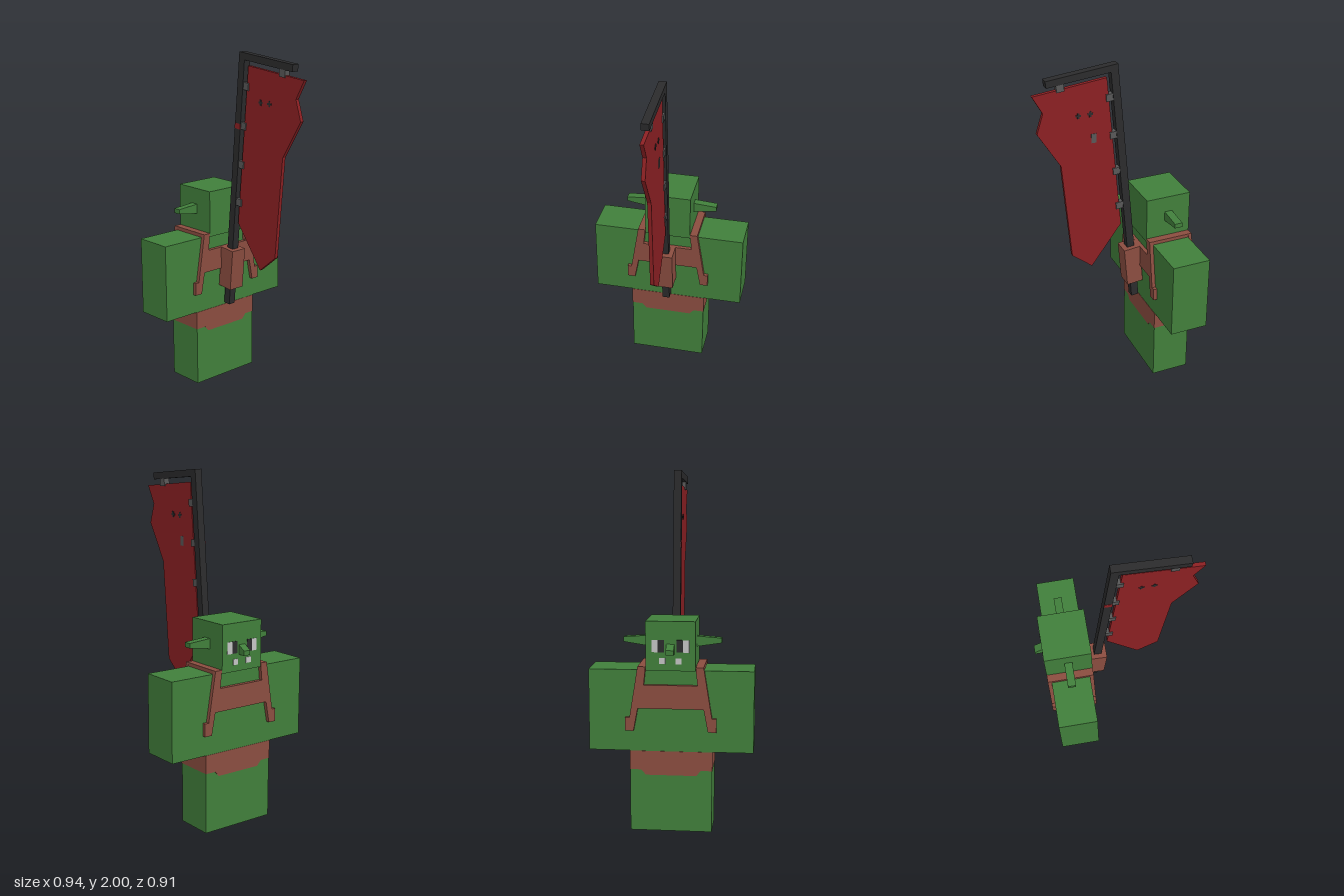
import * as THREE from 'three';

const mat = (name, color) => new THREE.MeshStandardMaterial({ name, color });

export function createModel() {
  const green = mat('green skin', 0x417f3b);
  const brown = mat('brown leather', 0x8b4d40);
  const red = mat('red blade', 0x8c2023);
  const black = mat('charcoal metal', 0x2b2b2c);
  const grey = mat('grey metal', 0x585858);
  const white = mat('pale white', 0xc4c4c4);
  const root = new THREE.Group();
  root.name = 'figureWithBlade';

  // Box given by its limits on each axis
  const box = (name, m, x0, x1, y0, y1, z0, z1, parent = root) => {
    const mesh = new THREE.Mesh(new THREE.BoxGeometry(x1 - x0, y1 - y0, z1 - z0), m);
    mesh.position.set((x0 + x1) / 2, (y0 + y1) / 2, (z0 + z1) / 2);
    mesh.name = name;
    parent.add(mesh);
    return mesh;
  };
  // Flat outline in x/y, extruded along z and centred on it
  const plate = (name, m, points, depth) => {
    const shape = new THREE.Shape(points.map(([x, y]) => new THREE.Vector2(x, y)));
    const geo = new THREE.ExtrudeGeometry(shape, { depth, bevelEnabled: false });
    geo.translate(0, 0, -depth / 2);
    const mesh = new THREE.Mesh(geo, m);
    mesh.name = name;
    root.add(mesh);
    return mesh;
  };
  // Outline in z/y mirrored across z = 0, extruded along x
  const sidePlate = (name, m, half, x, depth) => {
    const full = [...half, ...half.map(([z, y]) => [-z, y]).reverse()];
    const mesh = plate(name, m, full, depth);
    mesh.rotation.y = Math.PI / 2;
    mesh.position.x = x;
    return mesh;
  };

  // Body, facing -x
  box('legs', green, -0.402, -0.175, 0, 0.46, -0.228, 0.228);
  box('torsoAndArms', green, -0.402, -0.175, 0.46, 0.917, -0.457, 0.457);
  box('head', green, -0.425, -0.153, 0.917, 1.19, -0.137, 0.137);
  plate('nose', green, [[-0.425, 1.01], [-0.425, 1.065], [-0.47, 1.037], [-0.47, 1.01]], 0.044);

  // Tapered ears
  for (const s of [1, -1]) {
    const ear = plate('ear', green, s > 0
      ? [[0.137, 1.037], [0.274, 1.058], [0.274, 1.085], [0.137, 1.095]]
      : [[-0.137, 1.037], [-0.137, 1.095], [-0.274, 1.085], [-0.274, 1.058]], 0.046);
    ear.rotation.y = -Math.PI / 2;
    ear.position.x = -0.29;
  }

  // Face details
  for (const s of [1, -1]) {
    const patch = (name, m, z, w, y0, y1) =>
      box(name, m, -0.428, -0.424, y0, y1, s * z - w / 2, s * z + w / 2);
    patch('eyeWhite', white, 0.086, 0.034, 1.02, 1.088);
    patch('pupil', black, 0.052, 0.034, 1.02, 1.088);
    patch('tooth', white, 0.045, 0.034, 0.955, 0.988);
  }

  // Belt: band around the hips with a dip in front and behind
  box('belt', brown, -0.404, -0.173, 0.352, 0.459, -0.23, 0.23);
  const dip = [[0.165, 0.36], [0.165, 0.35], [0.14, 0.322]];
  for (const x of [-0.402, -0.175]) sidePlate('beltDip', brown, dip, x, 0.004);

  // Harness: matching chest and back frames joined over the shoulders
  const frame = [
    [0.148, 0.836], [0.138, 0.938], [0.182, 0.938], [0.228, 0.652],
    [0.252, 0.652], [0.252, 0.577], [0.206, 0.577], [0.182, 0.704],
  ];
  for (const x of [-0.4135, -0.164]) sidePlate('harnessFrame', brown, frame, x, 0.022);
  for (const s of [1, -1])
    box('shoulderStrap', brown, -0.405, -0.172, 0.91, 0.938, s * 0.16 - 0.022, s * 0.16 + 0.022);

  // Weapon frame, leaning toward +x
  const weapon = new THREE.Group();
  weapon.name = 'weaponFrame';
  weapon.position.set(-0.159, 0.479, 0);
  weapon.rotation.z = -0.0905;
  root.add(weapon);
  box('pole', black, 0, 0.045, 0, 1.528, -0.022, 0.022, weapon);
  box('topBar', black, 0.045, 0.417, 1.488, 1.528, -0.022, 0.022, weapon);
  box('holder', brown, -0.025, 0.075, 0.112, 0.358, -0.05, 0.05, weapon);
  box('poleMark', red, 0, 0.045, 1.09, 1.122, 0.02, 0.024, weapon);
  for (const [u, v] of [[0.062, 1.342], [0.06, 1.113], [0.063, 0.885], [0.065, 0.657], [0.338, 1.467]])
    box('clip', grey, u - 0.022, u + 0.022, v - 0.021, v + 0.021, -0.018, 0.018, weapon);

  // Ragged blade
  plate('blade', red, [
    [0.04, 1.926], [-0.045, 1.0], [0.14, 0.751], [0.262, 0.852],
    [0.315, 1.444], [0.447, 1.661], [0.41, 1.778], [0.468, 1.884],
  ], 0.022);
  // Small crosses on both faces, and a grey patch on one
  for (const x of [0.14, 0.209]) for (const z of [0.011, -0.011]) {
    box('crossBar', black, x - 0.016, x + 0.016, 1.725, 1.736, z - 0.002, z + 0.002);
    box('crossPost', black, x - 0.006, x + 0.006, 1.714, 1.747, z - 0.0025, z + 0.0025);
  }
  box('bladePatch', grey, 0.105, 0.135, 1.555, 1.61, -0.0135, -0.0095);

  return root;
}
